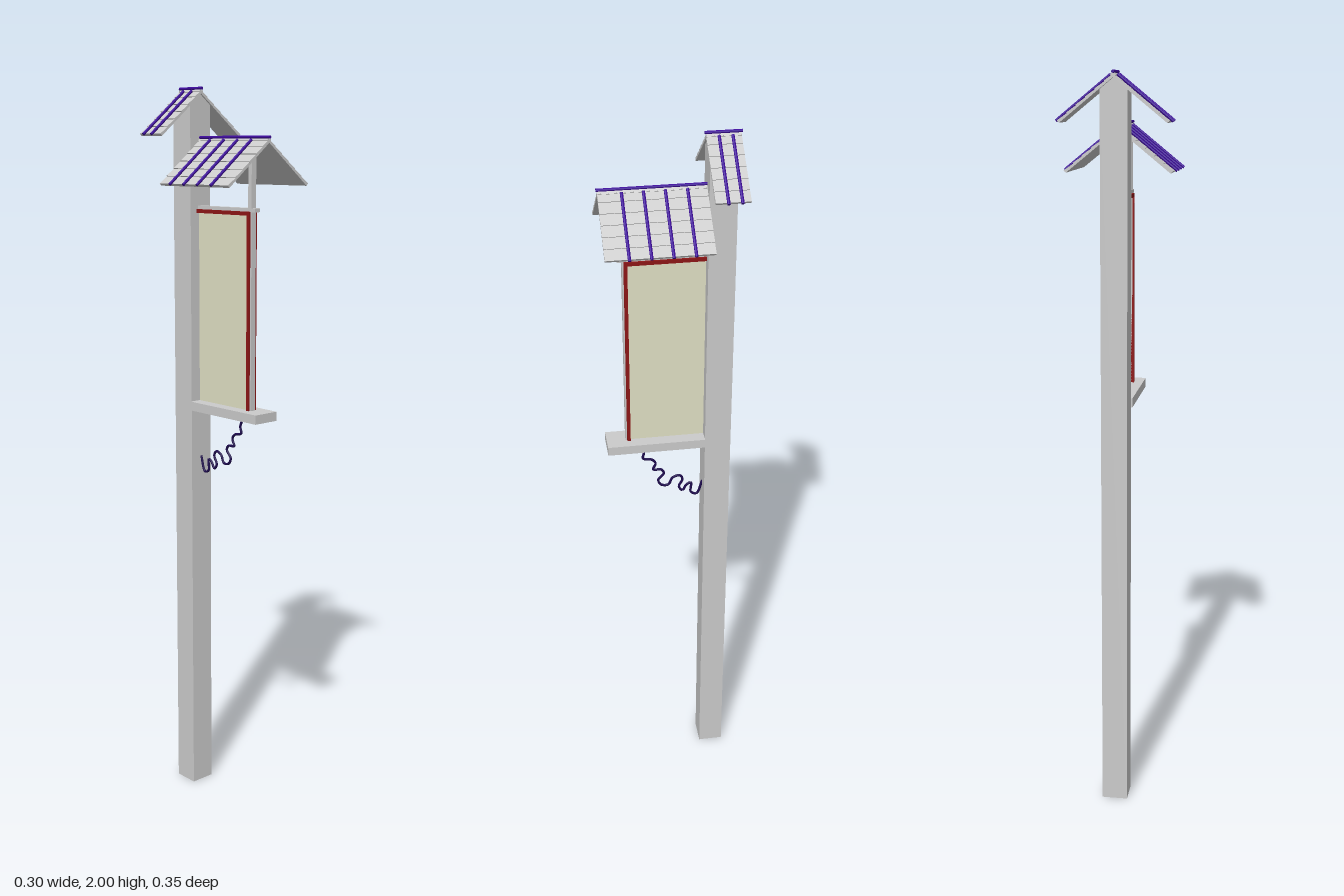
import * as THREE from 'three';

const material = (color) => new THREE.MeshStandardMaterial({ color, flatShading: true });

export function createModel() {
  const model = new THREE.Group();
  const grey = material(0xcccccc);
  const purple = material(0x3d0a9a);
  const red = material(0x8e1616);
  const cream = material(0xe0e0c4);
  const cordColor = new THREE.MeshStandardMaterial({ color: 0x1e0a50 });

  const add = (parent, name, geometry, mat) => {
    const mesh = new THREE.Mesh(geometry, mat);
    mesh.name = name;
    parent.add(mesh);
    return mesh;
  };
  // Box given by its lower and upper limits on each axis
  const box = (name, mat, [x0, x1], [y0, y1], [z0, z1]) => {
    const mesh = add(model, name, new THREE.BoxGeometry(x1 - x0, y1 - y0, z1 - z0), mat);
    mesh.position.set((x0 + x1) / 2, (y0 + y1) / 2, (z0 + z1) / 2);
    return mesh;
  };

  // Main post with a top cut to the roof pitch
  const outline = new THREE.Shape([
    [-0.035, 0], [0.035, 0], [0.035, 1.955], [0, 1.982], [-0.035, 1.955],
  ].map(([x, y]) => new THREE.Vector2(x, y)));
  const post = add(model, 'post', new THREE.ExtrudeGeometry(outline, { depth: 0.07, bevelEnabled: false }), grey);
  post.position.z = -0.165;

  // Gabled roof: lapped shingle rows, battens and a ridge rod
  const pitch = Math.atan2(0.115, 0.143);
  const slope = Math.hypot(0.115, 0.143);
  const rows = 6;
  const addRoof = (name, ridgeY, z0, z1, battens) => {
    const roof = new THREE.Group();
    roof.name = name;
    roof.position.y = ridgeY;
    const depth = z1 - z0;
    const rowLength = slope / rows;
    for (const side of [1, -1]) {
      const half = new THREE.Group();
      half.name = side > 0 ? 'leftSlope' : 'rightSlope';
      half.rotation.order = 'YXZ';
      half.rotation.set(0, side > 0 ? 0 : Math.PI, -pitch);
      // Local x runs down the slope; the turned half mirrors z
      const deck = add(half, 'deck', new THREE.BoxGeometry(slope, 0.004, depth), grey);
      deck.position.set(slope / 2, -0.009, side * (z0 + z1) / 2);
      for (let i = 0; i < rows; i++) {
        const shingle = add(half, 'shingleRow', new THREE.BoxGeometry(rowLength * 1.04, 0.004, depth), grey);
        shingle.position.set((i + 0.5) * rowLength, -0.006, side * (z0 + z1) / 2);
        shingle.rotation.z = 0.07;
      }
      for (const z of battens) {
        const batten = add(half, 'batten', new THREE.CylinderGeometry(0.004, 0.004, 0.18, 8), purple);
        batten.rotation.z = Math.PI / 2;
        batten.position.set(0.1, 0, side * z);
      }
      roof.add(half);
    }
    const ridge = add(roof, 'ridgeRod', new THREE.CylinderGeometry(0.004, 0.004, depth + 0.006, 8), purple);
    ridge.rotation.x = Math.PI / 2;
    ridge.position.z = (z0 + z1) / 2;
    model.add(roof);
  };
  addRoof('upperRoof', 1.996, -0.175, -0.09, [-0.153, -0.12]);
  addRoof('lowerRoof', 1.869, -0.095, 0.172, [-0.046, 0.008, 0.061, 0.114]);

  // Hanging sign: shelf, strut, top rail, panel and trim
  box('shelf', grey, [-0.039, 0.039], [1.13, 1.155], [-0.095, 0.168]);
  box('frontStrut', grey, [-0.009, 0.007], [1.155, 1.855], [0.104, 0.117]);
  box('topRail', grey, [-0.009, 0.009], [1.68, 1.69], [-0.095, 0.13]);
  box('panel', cream, [-0.005, 0.005], [1.155, 1.675], [-0.095, 0.106]);
  box('sideTrim', red, [-0.014, 0.014], [1.155, 1.68], [0.104, 0.113]);
  box('topTrim', red, [-0.014, 0.014], [1.671, 1.681], [-0.095, 0.113]);

  // Curling cord below the shelf, as [z, y] points
  const path = [
    [0.08, 1.132], [0.067, 1.105], [0.07, 1.085], [0.045, 1.078], [0.035, 1.065],
    [0.042, 1.045], [0.02, 1.043], [0.012, 1.03], [0.028, 1.008], [0.02, 0.992],
    [0, 0.99], [-0.012, 1.012], [-0.032, 1.018], [-0.04, 1.005], [-0.03, 0.98],
    [-0.04, 0.967], [-0.052, 0.985], [-0.064, 0.99], [-0.064, 0.958], [-0.08, 0.952], [-0.096, 0.995],
  ].map(([z, y]) => new THREE.Vector3(0, y, z));
  add(model, 'cord', new THREE.TubeGeometry(new THREE.CatmullRomCurve3(path), 120, 0.0035, 6), cordColor);

  return model;
}
